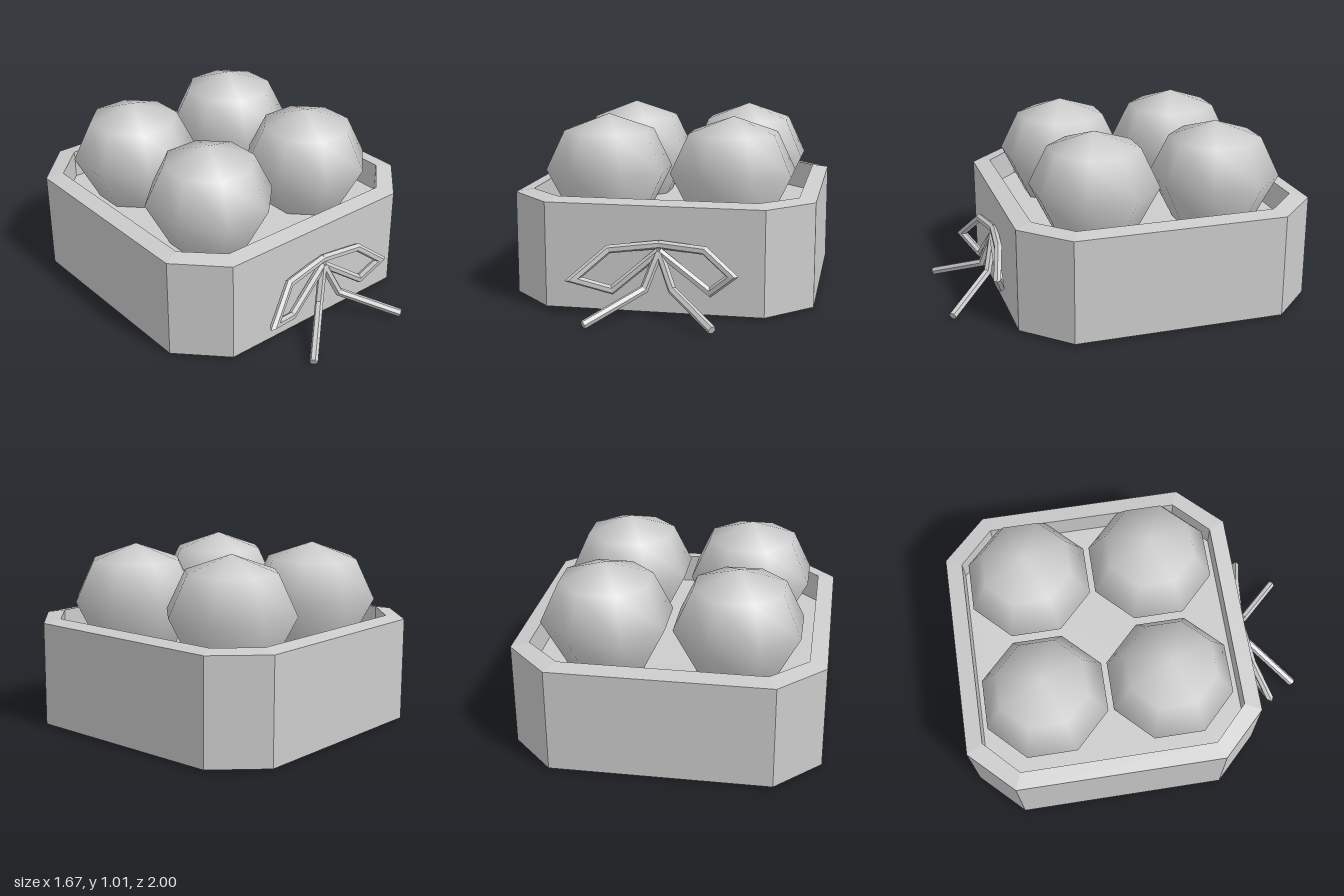
import * as THREE from 'three';
import { mergeVertices } from 'three/addons/utils/BufferGeometryUtils.js';

const grey = new THREE.MeshStandardMaterial({ color: 0xcccccc, side: THREE.DoubleSide });
grey.name = 'grey';

const CENTER_Z = -0.167;
const FLOOR_Y = 0.44;
const BALL_Y = 0.7;

// Rectangle with cut corners
function cutRect(hx, hz, cx, cz) {
  return [[hx, -cz], [hx, cz], [cx, hz], [-cx, hz], [-hx, cz], [-hx, -cz], [-cx, -hz], [cx, -hz]];
}

// Flat-faced surface through a list of rings of Vector3, with optional end caps
function skin(rings, capFirst, capLast) {
  const pos = [];
  const tri = (...corners) => corners.forEach((v) => pos.push(v.x, v.y, v.z));
  const n = rings[0].length;
  for (let r = 0; r < rings.length - 1; r++) {
    for (let i = 0; i < n; i++) {
      const j = (i + 1) % n;
      const a = rings[r][i], b = rings[r][j], c = rings[r + 1][j], d = rings[r + 1][i];
      tri(a, b, c);
      tri(a, c, d);
    }
  }
  const first = rings[0], last = rings[rings.length - 1];
  for (let i = 1; i < n - 1; i++) {
    if (capFirst) tri(first[0], first[i + 1], first[i]);
    if (capLast) tri(last[0], last[i], last[i + 1]);
  }
  const geo = new THREE.BufferGeometry();
  geo.setAttribute('position', new THREE.Float32BufferAttribute(pos, 3));
  geo.computeVertexNormals();
  return geo;
}

function add(parent, geo, name) {
  const mesh = new THREE.Mesh(geo, grey);
  mesh.name = name;
  parent.add(mesh);
  return mesh;
}

// Straight-sided cord with mitred corners along a list of points
function cord(parent, points, name, radius = 0.023, sides = 6) {
  const pts = points.map((p) => new THREE.Vector3(...p));
  const dirs = pts.slice(1).map((p, i) => p.clone().sub(pts[i]).normalize());
  const u = new THREE.Vector3(0, 0, 1).cross(dirs[0]).normalize();
  const v = dirs[0].clone().cross(u);
  let ring = [];
  for (let i = 0; i < sides; i++) {
    const a = (i / sides) * Math.PI * 2;
    ring.push(pts[0].clone().addScaledVector(u, radius * Math.cos(a)).addScaledVector(v, radius * Math.sin(a)));
  }
  const rings = [ring];
  dirs.forEach((dir, k) => {
    const next = dirs[k + 1] ?? dir;
    const plane = dir.clone().add(next);
    ring = ring.map((p) => {
      const t = pts[k + 1].clone().sub(p).dot(plane) / dir.dot(plane);
      return p.clone().addScaledVector(dir, t);
    });
    rings.push(ring);
  });
  add(parent, skin(rings, true, true), name);
}

// Eight-sided smooth ball whose lowest band runs down to the floor
function ballGeometry() {
  let geo = new THREE.SphereGeometry(0.362, 8, 3, 0, Math.PI * 2, 0, Math.PI * 0.75);
  geo.rotateY(Math.PI / 8);
  geo.scale(1, 0.31 / 0.362, 1);
  geo.deleteAttribute('normal');
  geo.deleteAttribute('uv');
  geo = mergeVertices(geo, 1e-4);
  const p = geo.attributes.position;
  for (let i = 0; i < p.count; i++) {
    if (p.getY(i) < -0.1) p.setXYZ(i, p.getX(i) * 0.89, FLOOR_Y - BALL_Y, p.getZ(i) * 0.89);
  }
  geo.computeVertexNormals();
  return geo;
}

export function createModel() {
  const model = new THREE.Group();
  model.name = 'boxOfBalls';

  // Box: open-bottomed outer walls, sloping rim and a sunken tray
  const outer = cutRect(0.833, 0.833, 0.592, 0.588);
  const inner = cutRect(0.74, 0.74, 0.545, 0.55);
  const level = (outline, y) => outline.map(([x, z]) => new THREE.Vector3(x, y, z + CENTER_Z)).reverse();
  add(model, skin([level(outer, 0.012), level(outer, 0.588), level(inner, 0.604)]), 'boxWalls');
  add(model, skin([level(inner, 0.604), level(inner, FLOOR_Y)], false, true), 'boxTray');

  // Four balls in the tray
  const ball = ballGeometry();
  for (const x of [-0.355, 0.355]) {
    for (const z of [-0.525, 0.175]) {
      add(model, ball, 'ball').position.set(x, BALL_Y, z);
    }
  }

  // Bow of cord on the front
  const bow = new THREE.Group();
  bow.name = 'bow';
  model.add(bow);
  const top = [0.035, 0.386, 0.676];
  const knot = [0.035, 0.35, 0.682];
  cord(bow, [top, [0.28, 0.37, 0.70], [0.43, 0.25, 0.74], [0.31, 0.147, 0.70], knot], 'leftLoop');
  cord(bow, [top, [-0.235, 0.355, 0.705], [-0.405, 0.205, 0.785], [-0.215, 0.135, 0.71], knot], 'rightLoop');
  cord(bow, [knot, [0.115, 0.16, 0.735], [0.365, 0.035, 0.98]], 'leftTail');
  cord(bow, [knot, [-0.035, 0.155, 0.735], [-0.3, 0.022, 0.98]], 'rightTail');

  return model;
}
